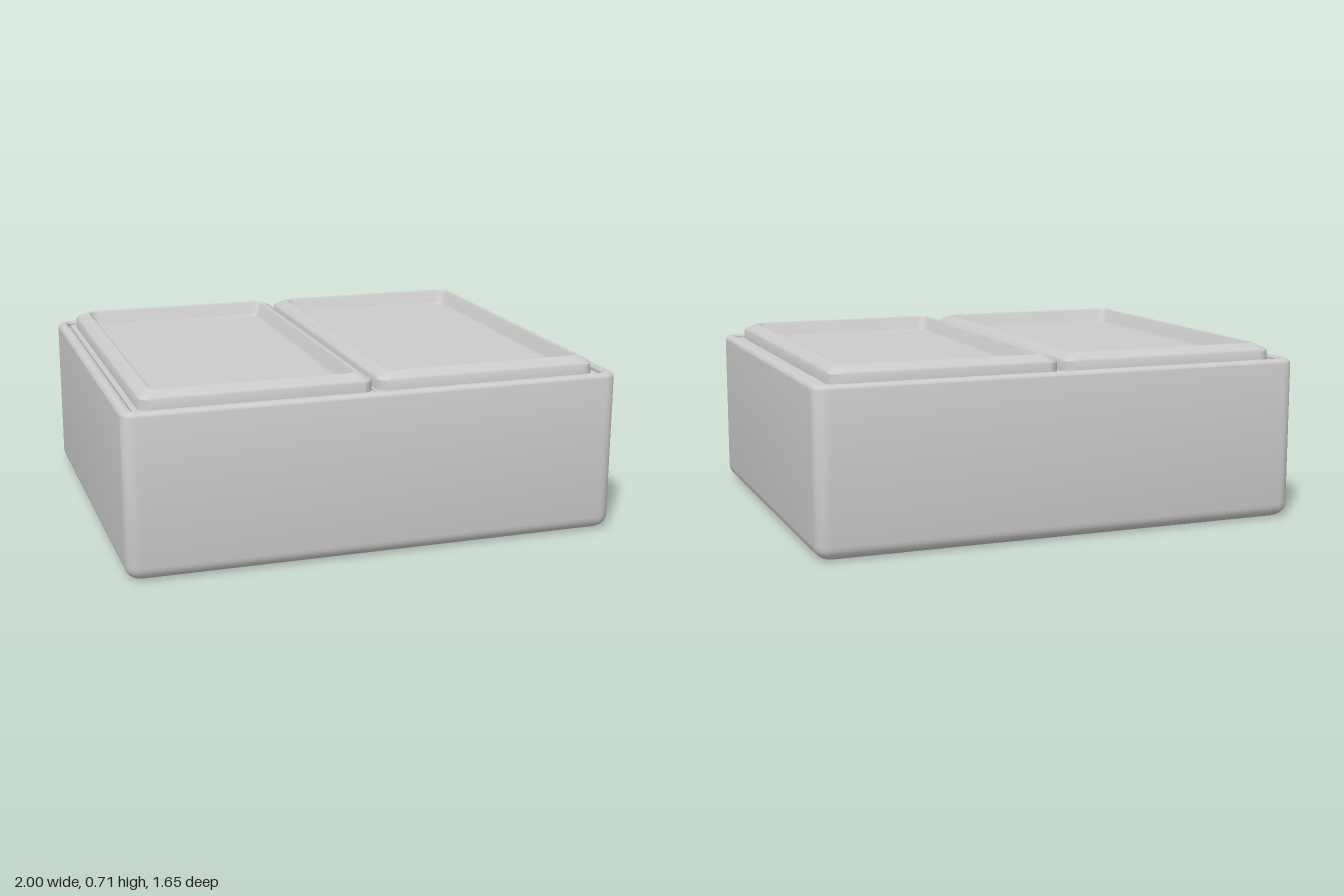
import * as THREE from 'three';
import { toCreasedNormals } from 'three/addons/utils/BufferGeometryUtils.js';

const material = new THREE.MeshStandardMaterial({ color: 0xcccccc });
const CORNER_STEPS = 8;

// Points of a rounded rectangle in the xz plane, from +x round towards +z
function ringPoints(x0, x1, z0, z1, r) {
  const points = [];
  const corners = [[x1 - r, z1 - r], [x0 + r, z1 - r], [x0 + r, z0 + r], [x1 - r, z0 + r]];
  corners.forEach(([cx, cz], k) => {
    for (let i = 0; i <= CORNER_STEPS; i++) {
      const a = (k + i / CORNER_STEPS) * Math.PI / 2;
      points.push([cx + r * Math.cos(a), cz + r * Math.sin(a)]);
    }
  });
  return points;
}

// Sweep a profile of [inset, y, cornerRadius] round a rectangle
function sweepMesh(name, [x0, x1, z0, z1], profile, capStart, capEnd) {
  const positions = [], indices = [];
  const n = 4 * (CORNER_STEPS + 1);
  for (const [d, y, r] of profile) {
    for (const [x, z] of ringPoints(x0 + d, x1 - d, z0 + d, z1 - d, r)) positions.push(x, y, z);
  }
  for (let i = 0; i < profile.length - 1; i++) {
    for (let j = 0; j < n; j++) {
      const a = i * n + j, b = i * n + (j + 1) % n;
      indices.push(a, a + n, b, b, a + n, b + n);
    }
  }
  const cap = (ring, up) => {
    const centre = positions.length / 3;
    positions.push((x0 + x1) / 2, profile[ring][1], (z0 + z1) / 2);
    for (let j = 0; j < n; j++) {
      const a = ring * n + j, b = ring * n + (j + 1) % n;
      indices.push(...(up ? [a, centre, b] : [b, centre, a]));
    }
  };
  if (capStart) cap(0, false);
  if (capEnd) cap(profile.length - 1, true);
  const geometry = new THREE.BufferGeometry();
  geometry.setAttribute('position', new THREE.Float32BufferAttribute(positions, 3));
  geometry.setIndex(indices);
  const mesh = new THREE.Mesh(toCreasedNormals(geometry, 0.6), material);
  mesh.name = name;
  return mesh;
}

// Quarter round on the outer wall: side -1 for the bottom edge, 1 for the top
function edgeRound(radius, edgeY, side, cornerRadius) {
  const points = [];
  for (let i = 0; i <= 6; i++) {
    const a = (side < 0 ? i : 6 - i) / 6 * Math.PI / 2;
    const d = radius * (1 - Math.sin(a));
    points.push([d, edgeY - side * radius * (1 - Math.cos(a)), cornerRadius - d * 0.7]);
  }
  return points;
}

export function createModel() {
  const group = new THREE.Group();
  group.name = 'twoLidBox';

  // Hollow body, open underneath, with a rounded rim and a stepped seat
  const wall = 0.055;
  group.add(sweepMesh('body', [-1, 1, -0.825, 0.825], [
    [wall, 0.63, 0.015],
    [wall, 0, 0.015],
    ...edgeRound(wall, 0, -1, 0.055),
    ...edgeRound(0.022, 0.656, 1, 0.055).reverse().sort((a, b) => a[1] - b[1]),
    [0.034, 0.656, 0.03],
    [0.04, 0.648, 0.026],
    [0.04, 0.63, 0.026],
    [wall, 0.63, 0.015],
  ]));

  // Two mirrored lids, separated by a narrow slit
  for (const [side, label] of [[1, 'left'], [-1, 'right']]) {
    const span = (inner, outer) => (side > 0 ? [inner, outer] : [-outer, -inner]);
    const lid = new THREE.Group();
    lid.name = label + 'Lid';

    // Base plate that forms the ceiling of the box
    lid.add(sweepMesh('lidBase', [...span(0.004, 0.945), -0.77, 0.77], [
      [0, 0.55, 0.012],
      [0, 0.641, 0.012],
      [0.005, 0.646, 0.01],
    ], true, true));

    // Raised frame with a bevelled outside and a sunken panel
    lid.add(sweepMesh('lidFrame', [...span(0.008, 0.926), -0.763, 0.763], [
      [0, 0.64, 0.05],
      [0.002, 0.685, 0.05],
      [0.007, 0.693, 0.05],
      [0.046, 0.714, 0.045],
      [0.051, 0.715, 0.042],
      [0.056, 0.714, 0.04],
      [0.06, 0.71, 0.038],
      [0.072, 0.66, 0.034],
      [0.08, 0.65, 0.03],
    ], false, true));
    group.add(lid);
  }
  return group;
}
